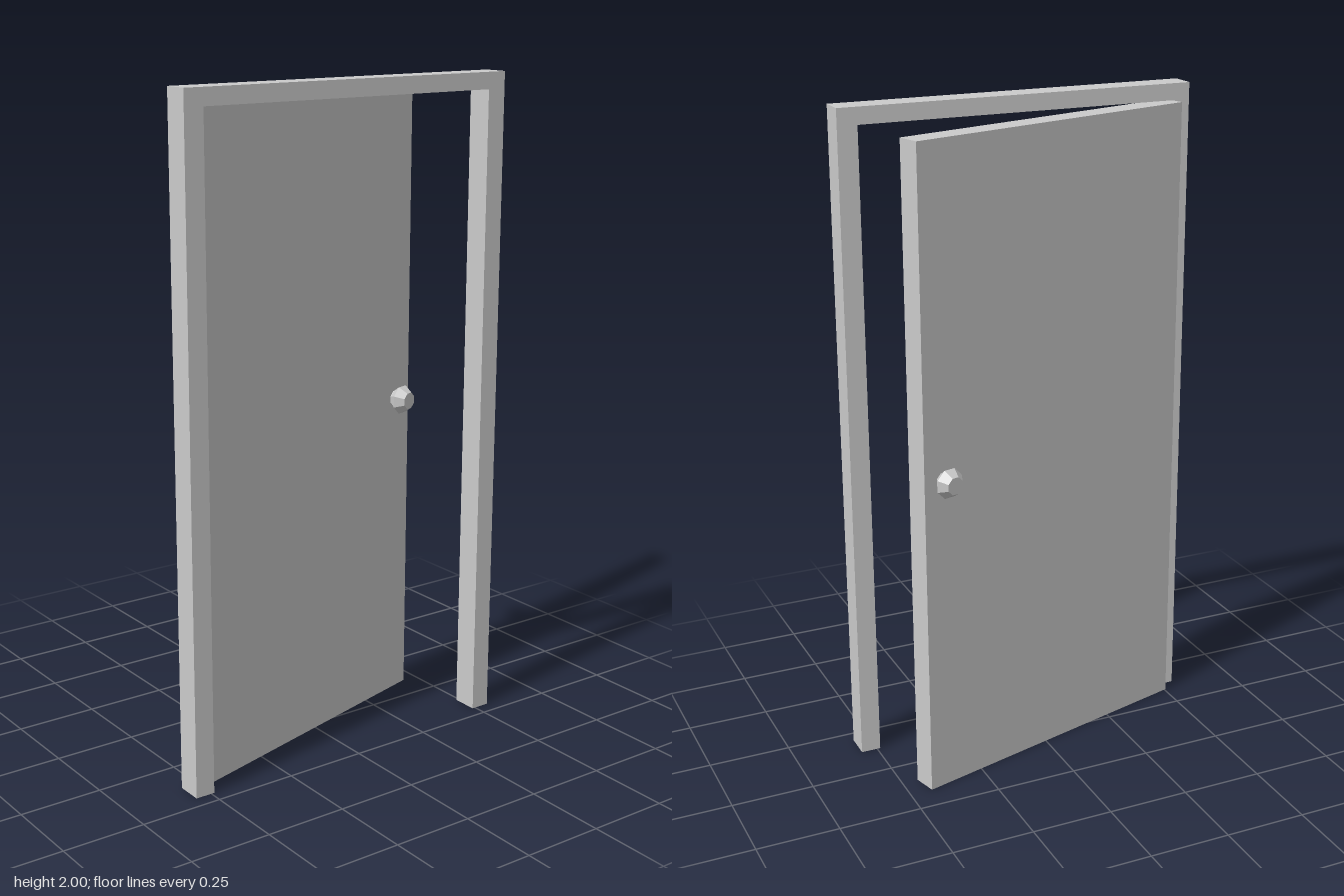
import * as THREE from 'three';

const material = new THREE.MeshStandardMaterial({ color: 0xcccccc, flatShading: true });

function addMesh(parent, name, geometry) {
  const mesh = new THREE.Mesh(geometry, material);
  mesh.name = name;
  parent.add(mesh);
  return mesh;
}

export function createModel() {
  const model = new THREE.Group();
  model.name = 'openDoor';

  // Door frame: two posts and a lintel in one piece, open at the floor
  const outline = new THREE.Shape([
    [-0.55, 0], [-0.49, 0], [-0.49, 1.95], [0.49, 1.95],
    [0.49, 0], [0.55, 0], [0.55, 2], [-0.55, 2],
  ].map(([x, y]) => new THREE.Vector2(x, y)));
  const frame = addMesh(model, 'doorFrame',
    new THREE.ExtrudeGeometry(outline, { depth: 0.08, bevelEnabled: false }));
  frame.position.z = 0.127;

  // Door leaf, swung backwards on its hinge side
  const door = new THREE.Group();
  door.name = 'door';
  door.position.set(-0.0265, 0, -0.005);
  door.rotation.y = THREE.MathUtils.degToRad(15.2);
  model.add(door);
  const thickness = 0.073;
  const panel = addMesh(door, 'doorPanel', new THREE.BoxGeometry(0.97, 1.95, thickness));
  panel.position.y = 0.975;

  // Faceted knob on each side of the leaf
  const profile = [[0, -0.005], [0.027, -0.005], [0.027, 0.002], [0.046, 0.027], [0.027, 0.055], [0, 0.055]]
    .map(([r, y]) => new THREE.Vector2(r, y));
  for (const side of [1, -1]) {
    const knob = addMesh(door, side > 0 ? 'frontKnob' : 'backKnob',
      new THREE.LatheGeometry(profile, 8, Math.PI / 8));
    knob.rotation.x = side * Math.PI / 2;
    knob.position.set(0.417, 0.98, side * thickness / 2);
  }

  return model;
}
